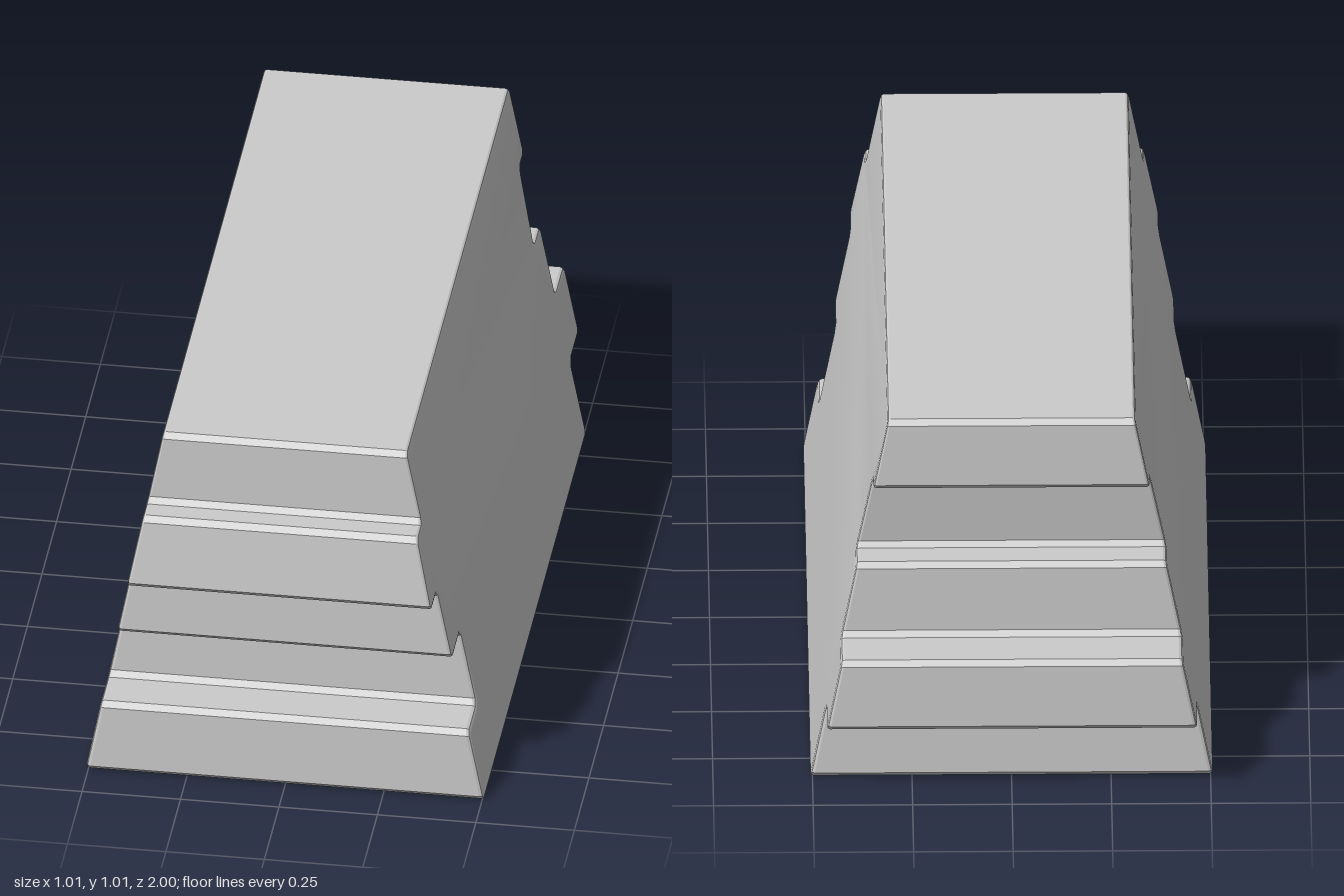
import * as THREE from 'three';
import { toCreasedNormals } from 'three/addons/utils/BufferGeometryUtils.js';

const CUT = 0.014;   // chamfer on the profile corners
const BEVEL = 0.01;  // bevel around the two side faces

// Closed shape with every corner chamfered
function chamferedShape(corners) {
  const pts = [];
  corners.forEach(([z, y], i) => {
    const p = new THREE.Vector2(z, y);
    for (const step of [-1, 1]) {
      const q = new THREE.Vector2(...corners[(i + step + corners.length) % corners.length]);
      pts.push(p.clone().add(q.sub(p).setLength(CUT)));
    }
  });
  return new THREE.Shape(pts);
}

export function createModel() {
  const group = new THREE.Group();
  group.name = 'interlockingBlock';

  // Side profile as [z, y], counter-clockwise
  const profile = chamferedShape([
    // front end: groove below, tapered tongue above
    [-0.855, 0], [0.9, 0], [0.9, 0.204], [0.763, 0.204], [0.763, 0.414], [0.9, 0.414],
    [0.9, 0.614], [1, 0.614], [0.98, 0.814], [0.9, 0.814], [0.9, 1.015],
    // back end: tapered groove above, square tongue below
    [-0.855, 1.015], [-0.855, 0.818], [-0.784, 0.818], [-0.756, 0.609], [-0.855, 0.609],
    [-0.855, 0.406], [-1, 0.406], [-1, 0.209], [-0.855, 0.209],
  ]);

  const geo = new THREE.ExtrudeGeometry(profile, {
    depth: 1 - 2 * BEVEL,
    bevelEnabled: true,
    bevelThickness: BEVEL,
    bevelSize: BEVEL,
    bevelOffset: -BEVEL,
    bevelSegments: 2,
  });
  geo.translate(0, 0, -0.5 + BEVEL);
  geo.rotateY(-Math.PI / 2);

  // Lean the sides inward: the width shrinks steadily with height
  const pos = geo.attributes.position;
  for (let i = 0; i < pos.count; i++) {
    pos.setX(i, pos.getX(i) * 2 * (0.507 - 0.194 * pos.getY(i)));
  }

  const block = new THREE.Mesh(
    toCreasedNormals(geo, 0.3),
    new THREE.MeshStandardMaterial({ color: 0xcccccc })
  );
  block.name = 'block';
  group.add(block);
  return group;
}
